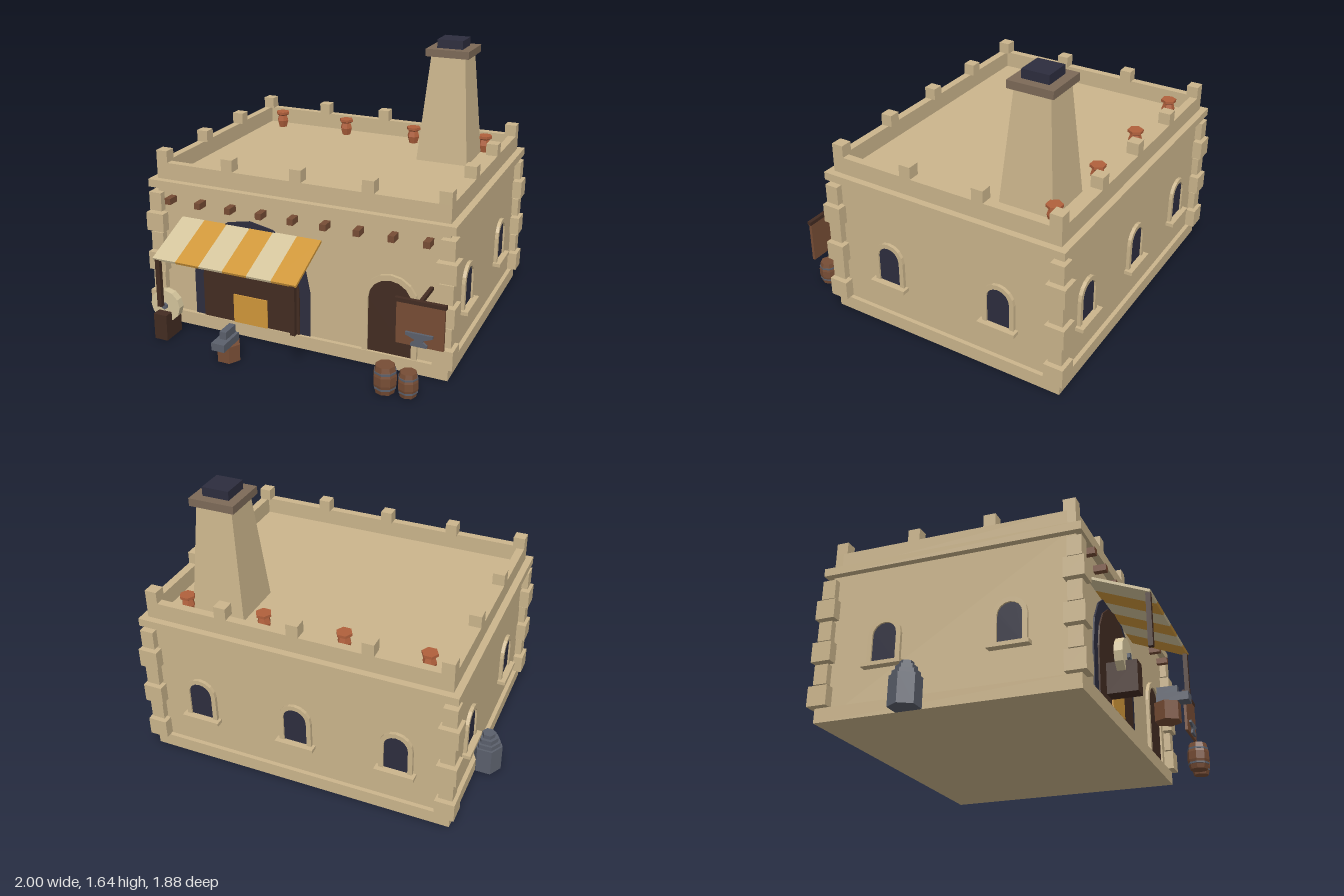
import * as THREE from 'three';

const mat = (name, color) => {
  const m = new THREE.MeshStandardMaterial({ color });
  m.name = name;
  return m;
};

export function createModel() {
  const root = new THREE.Group();
  root.name = 'smithy';
  const stone = mat('sandstone', 0xcbb58c), night = mat('dark glass', 0x2d2d3e);
  const wood = mat('wood', 0x774d35), darkWood = mat('dark wood', 0x432c22);
  const clay = mat('terracotta', 0xb0603c), gold = mat('gold', 0xd0973a);
  const cream = mat('cream cloth', 0xd4c49c), capMat = mat('chimney cap', 0x7d6a58);
  const slate = mat('slate iron', 0x5b606c);

  // Adds a flat-shaded mesh
  const add = (name, geo, material, x = 0, y = 0, z = 0, parent = root) => {
    const g = geo.index ? geo.toNonIndexed() : geo;
    g.computeVertexNormals();
    const m = new THREE.Mesh(g, material);
    m.name = name;
    m.position.set(x, y, z);
    parent.add(m);
    return m;
  };
  // Box given by its limits on each axis
  const box = (name, material, x0, x1, y0, y1, z0, z1, parent = root) =>
    add(name, new THREE.BoxGeometry(x1 - x0, y1 - y0, z1 - z0), material,
      (x0 + x1) / 2, (y0 + y1) / 2, (z0 + z1) / 2, parent);
  const lathe = (pts, sides) =>
    new THREE.LatheGeometry(pts.map(([r, y]) => new THREE.Vector2(r, y)), sides);

  // Round-arch outline, and plates and frames cut from it
  const archPts = (half, y0, spring) => {
    const p = [new THREE.Vector2(half, y0)];
    for (let i = 0; i <= 8; i++) {
      const a = i * Math.PI / 8;
      p.push(new THREE.Vector2(half * Math.cos(a), spring + half * Math.sin(a)));
    }
    p.push(new THREE.Vector2(-half, y0));
    return p;
  };
  const extrude = (pts, depth) =>
    new THREE.ExtrudeGeometry(new THREE.Shape(pts), { depth, bevelEnabled: false });
  const archPlate = (half, y0, spring, depth) => extrude(archPts(half, y0, spring), depth);
  const archFrame = (outer, inner, y0, spring, depth) =>
    extrude([...archPts(outer, y0, spring), ...archPts(inner, y0, spring).reverse()], depth);

  // Main block, centred on (cx, cz)
  const cx = 0.05, cz = -0.175, hx = 0.89, hz = 0.71;
  const slab = (name, y0, y1, grow) =>
    box(name, stone, cx - hx - grow, cx + hx + grow, y0, y1, cz - hz - grow, cz + hz + grow);
  slab('walls', 0, 0.9, 0);
  slab('plinth', 0, 0.08, 0.025);
  slab('cornice', 0.853, 0.9, 0.04);
  const x0 = cx - hx, x1 = cx + hx, z0 = cz - hz, z1 = cz + hz, t = 0.047;
  box('parapetFront', stone, x0, x1, 0.9, 1, z1 - t, z1);
  box('parapetBack', stone, x0, x1, 0.9, 1, z0, z0 + t);
  box('parapetLeft', stone, x1 - t, x1, 0.9, 1, z0 + t, z1 - t);
  box('parapetRight', stone, x0, x0 + t, 0.9, 1, z0 + t, z1 - t);

  // Merlons around the parapet
  for (let i = 0; i < 5; i++) for (let j = 0; j < 4; j++) {
    if (i % 4 && j % 3) continue;
    add('merlon', new THREE.BoxGeometry(0.07, 0.07, 0.07), stone,
      cx + (i - 2) * 0.4275, 1.035, cz + (j - 1.5) * 0.45);
  }

  // Alternating corner stones
  for (const x of [x0, x1]) for (const z of [z0, z1]) for (let i = 0; i < 6; i++) {
    const w = i % 2 ? 0.08 : 0.114;
    add('cornerStone', new THREE.BoxGeometry(w, 0.112, w), stone, x, 0.14 + i * 0.125, z);
  }

  // Beam ends
  for (let i = 0; i < 9; i++)
    add('beamEnd', new THREE.BoxGeometry(0.037, 0.037, 0.08), wood, -0.735 + i * 0.196, 0.79, 0.565);

  // Windows: local z points out of the wall
  const addWindow = (x, z, turn) => {
    const g = new THREE.Group();
    g.name = 'window';
    g.position.set(x, 0, z);
    g.rotation.y = turn;
    add('glass', archPlate(0.07, 0.29, 0.45, 0.009), night, 0, 0, 0, g);
    add('frame', archFrame(0.097, 0.07, 0.29, 0.45, 0.02), stone, 0, 0, 0, g);
    box('sill', stone, -0.115, 0.115, 0.27, 0.292, 0, 0.048, g);
    root.add(g);
  };
  for (const d of [-0.355, 0.355]) {
    addWindow(x1, cz + d, Math.PI / 2);
    addWindow(x0, cz + d, -Math.PI / 2);
  }
  for (const d of [-0.595, 0, 0.595]) addWindow(cx + d, z0, Math.PI);

  // Forge opening and fire
  add('forgeSurround', archPlate(0.375, 0.08, 0.35, 0.009), night, -0.235, 0, z1);
  add('forgeOpening', archPlate(0.312, 0.08, 0.35, 0.009), darkWood, -0.235, 0, z1 + 0.009);
  box('fire', gold, -0.345, -0.125, 0.08, 0.258, z1 + 0.018, z1 + 0.026);

  // Door
  add('door', archPlate(0.128, 0.08, 0.4, 0.009), darkWood, 0.622, 0, z1);
  add('doorFrame', archFrame(0.16, 0.128, 0.08, 0.4, 0.02), stone, 0.622, 0, z1);

  // Striped awning and its posts
  const slope = Math.atan2(0.135, 0.33);
  for (let i = 0; i < 6; i++) {
    const s = add('awningStripe', new THREE.BoxGeometry(0.1483, 0.015, 0.352),
      i % 2 ? gold : cream, -0.606 + i * 0.1483, 0.612, 0.7);
    s.rotation.x = slope;
  }
  for (const x of [-0.655, 0.185])
    box('awningPost', darkWood, x - 0.014, x + 0.014, 0.252, 0.543, 0.836, 0.862);

  // Chimney
  const cxh = 0.585, czh = -0.567;
  const stack = new THREE.CylinderGeometry(0.105 * Math.SQRT2, 0.16 * Math.SQRT2, 0.65, 4);
  stack.rotateY(Math.PI / 4);
  add('chimneyStack', stack, stone, cxh, 1.225, czh);
  add('chimneyCap', new THREE.BoxGeometry(0.266, 0.045, 0.266), capMat, cxh, 1.567, czh);
  add('chimneyFlue', new THREE.BoxGeometry(0.158, 0.052, 0.158), night, cxh, 1.615, czh);

  // Clay pots on the roof
  for (let i = 0; i < 4; i++) {
    const pot = lathe([[0, 0], [0.028, 0], [0.04, 0.045], [0.03, 0.08], [0.046, 0.09],
      [0.046, 0.106], [0, 0.106]], 6);
    pot.rotateY(Math.PI / 6 * 3);
    add('clayPot', pot, clay, -0.663 + i * 0.475, 0.9, -0.745);
  }

  // Barrels with hoops
  for (const [x, z, r, h] of [[0.69, 0.787, 0.066, 0.16], [0.815, 0.775, 0.057, 0.14]]) {
    add('barrel', lathe([[0, 0], [r * 0.8, 0], [r, h * 0.35], [r, h * 0.65], [r * 0.8, h], [0, h]], 8),
      wood, x, 0, z);
    for (const f of [0.22, 0.78])
      add('barrelHoop', new THREE.CylinderGeometry(r * 0.96, r * 0.96, h * 0.07, 8), slate, x, h * f, z);
  }

  // Hanging sign with an anvil emblem
  box('signArm', darkWood, 0.84, 0.86, 0.51, 0.53, z1, 0.73);
  box('signRail', darkWood, 0.712, 0.992, 0.508, 0.53, 0.71, 0.733);
  box('signBoard', wood, 0.722, 0.985, 0.27, 0.51, 0.713, 0.73);
  const emblem = [[-0.045, 0.275], [0.045, 0.275], [0.045, 0.29], [0.022, 0.305], [0.025, 0.315],
    [0.075, 0.335], [0.075, 0.35], [-0.075, 0.35], [-0.075, 0.335], [-0.025, 0.315],
    [-0.022, 0.305], [-0.045, 0.29]].map(([x, y]) => new THREE.Vector2(x, y));
  add('signEmblem', extrude(emblem, 0.014), slate, 0.853, 0, 0.73);

  // Anvil on a stump
  const stump = new THREE.CylinderGeometry(0.072, 0.072, 0.1, 6);
  stump.rotateY(Math.PI / 6);
  add('anvilStump', stump, wood, -0.236, 0.05, 0.82);
  box('anvilBody', slate, -0.276, -0.196, 0.1, 0.145, 0.77, 0.94);
  box('anvilTop', slate, -0.256, -0.216, 0.145, 0.19, 0.77, 0.88);

  // Grindstone on its stand
  box('grindstoneStand', darkWood, -0.745, -0.66, 0, 0.16, 0.642, 0.797);
  const wheel = new THREE.CylinderGeometry(0.097, 0.097, 0.044, 12);
  wheel.rotateX(Math.PI / 2);
  add('grindstone', wheel, cream, -0.7, 0.195, 0.718);
  const hub = new THREE.CylinderGeometry(0.02, 0.02, 0.08, 6);
  hub.rotateX(Math.PI / 2);
  add('grindstoneHub', hub, slate, -0.7, 0.195, 0.715);

  // Stepped six-sided stone well-house against the right wall
  const tiers = lathe([[0, 0], [0.087, 0], [0.087, 0.165], [0.074, 0.165], [0.074, 0.192],
    [0.058, 0.192], [0.058, 0.22], [0.038, 0.22], [0.038, 0.245], [0, 0.245]], 6);
  tiers.rotateY(Math.PI / 6);
  add('steppedPillar', tiers, slate, -0.913, 0, -0.355);

  return root;
}
